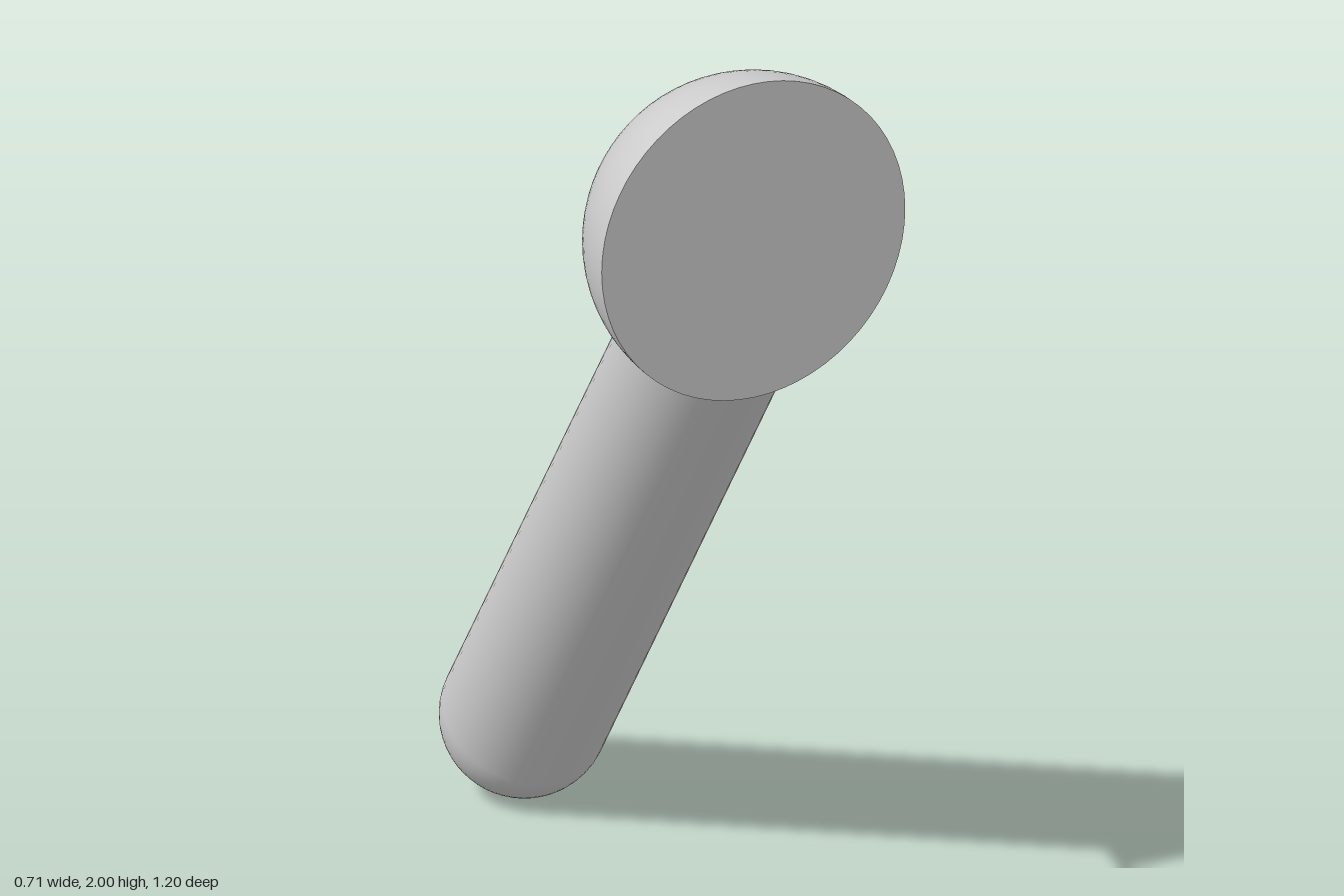
import * as THREE from 'three';

export function createModel() {
  const group = new THREE.Group();
  const material = new THREE.MeshStandardMaterial({ color: 0xcccccc });
  const headRadius = 0.355, rodRadius = 0.177;
  const headCentre = new THREE.Vector3(0, 1.645, 0.6);
  const tipCentre = new THREE.Vector3(0, rodRadius, -0.423);

  const add = (name, geometry, position) => {
    const mesh = new THREE.Mesh(geometry, material);
    mesh.name = name;
    mesh.position.copy(position);
    group.add(mesh);
    return mesh;
  };

  // Half-ball head, dome towards the back, closed by a flat front face
  const dome = new THREE.SphereGeometry(headRadius, 64, 24, 0, Math.PI * 2, 0, Math.PI / 2);
  add('headDome', dome.rotateX(-Math.PI / 2), headCentre);
  add('headFace', new THREE.CircleGeometry(headRadius, 64), headCentre);

  // Slanted rod with a rounded tip, its axis aimed at the head's centre
  const axis = headCentre.clone().sub(tipCentre);
  const joint = Math.sqrt(headRadius ** 2 - rodRadius ** 2);
  const length = axis.length() - joint + 0.02;
  const profile = [];
  for (let i = 0; i <= 16; i++) {
    const a = (i / 16) * Math.PI / 2;
    profile.push(new THREE.Vector2(rodRadius * Math.sin(a), -rodRadius * Math.cos(a)));
  }
  profile.push(new THREE.Vector2(rodRadius, length));
  const rod = add('rod', new THREE.LatheGeometry(profile, 48), tipCentre);
  rod.rotation.x = Math.atan2(axis.z, axis.y);

  return group;
}
